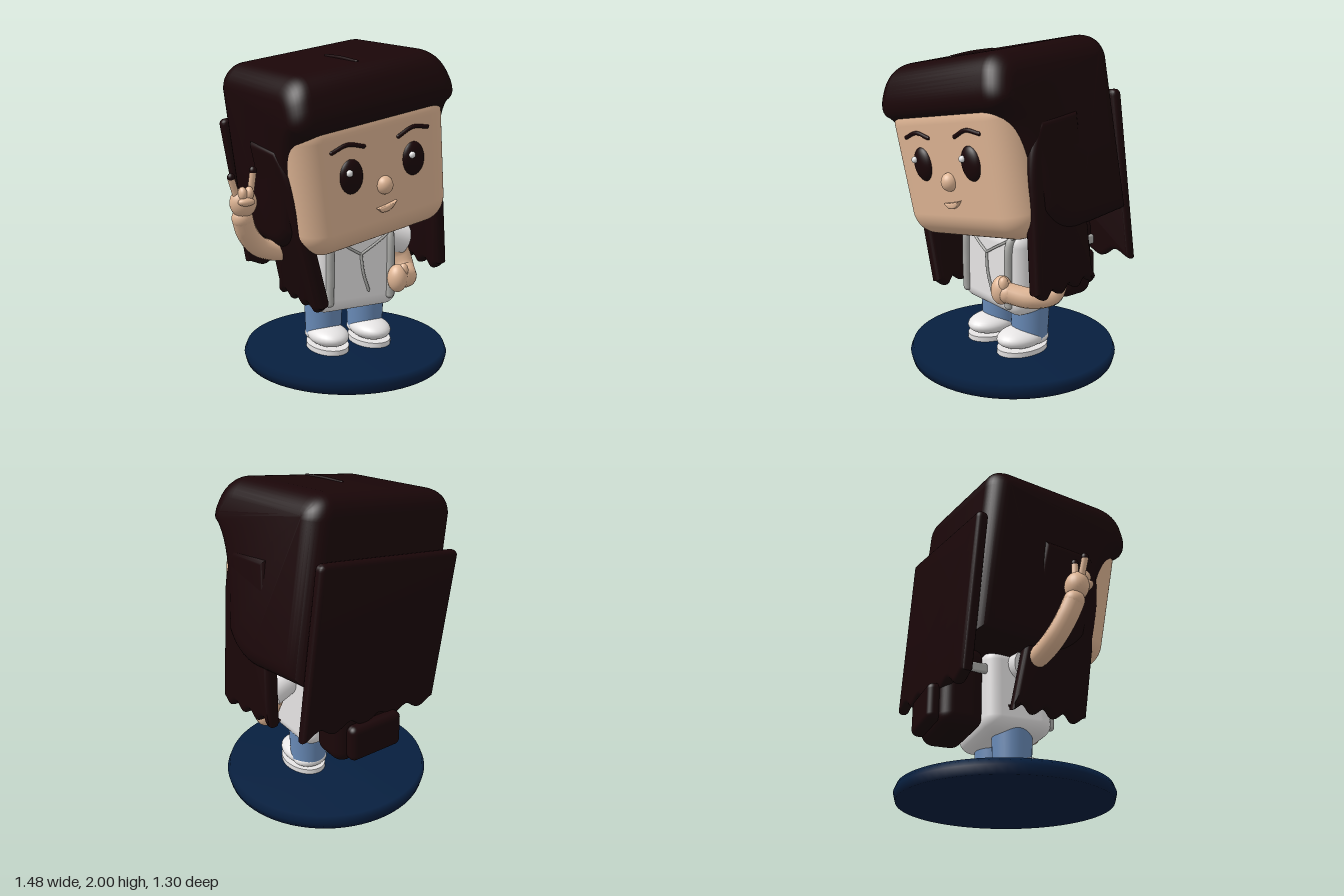
import * as THREE from 'three';
import { toCreasedNormals } from 'three/addons/utils/BufferGeometryUtils.js';
import { RoundedBoxGeometry } from 'three/addons/geometries/RoundedBoxGeometry.js';

const mat = (name, color) => {
  const m = new THREE.MeshStandardMaterial({ color });
  m.name = name;
  return m;
};
const V = (p) => new THREE.Vector3(...p);

export function createModel() {
  const root = new THREE.Group();
  const hair = mat('dark brown', 0x1a0608);
  const skin = mat('skin', 0xe0b695);
  const cloth = mat('off white', 0xe6e4e4);
  const grey = mat('strap grey', 0xa9a9a6);
  const denim = mat('denim blue', 0x698bb8);
  const navy = mat('navy', 0x071f3f);
  const white = mat('white', 0xf4f4f4);

  const add = (parent, name, geo, m, p = [0, 0, 0]) => {
    const mesh = new THREE.Mesh(geo, m);
    mesh.name = name;
    mesh.position.set(...p);
    parent.add(mesh);
    return mesh;
  };
  const ball = (parent, name, m, p, r) =>
    add(parent, name, new THREE.SphereGeometry(1, 28, 20).scale(...r), m, p);
  const box = (parent, name, m, p, s, r) =>
    add(parent, name, new RoundedBoxGeometry(...s, 5, r), m, p);
  const tube = (parent, name, m, pts, r) => {
    const curve = new THREE.CatmullRomCurve3(pts.map(V));
    add(parent, name, new THREE.TubeGeometry(curve, 24, r, 14), m);
    for (const p of [pts[0], pts[pts.length - 1]]) ball(parent, name + 'End', m, p, [r, r, r]);
  };
  // cone or cylinder between two points
  const rod = (parent, name, m, a, b, ra, rb) => {
    const d = V(b).sub(V(a));
    const mesh = add(parent, name, new THREE.CylinderGeometry(rb, ra, d.length(), 24), m);
    mesh.position.copy(V(a).add(V(b)).multiplyScalar(0.5));
    mesh.quaternion.setFromUnitVectors(new THREE.Vector3(0, 1, 0), d.normalize());
  };
  // scale x of every vertex by a rule of y
  const taper = (geo, rule) => {
    const p = geo.attributes.position;
    for (let i = 0; i < p.count; i++) p.setX(i, p.getX(i) * rule(p.getY(i)));
    return geo;
  };
  // flat shape with rounded rims, centred on its thickness
  const slab = (shape, thick, bevel, seg = 6) => {
    const g = new THREE.ExtrudeGeometry(shape, {
      depth: thick - 2 * bevel, bevelThickness: bevel, bevelSize: bevel,
      bevelOffset: -bevel, bevelSegments: seg, curveSegments: 10,
    });
    g.translate(0, 0, bevel - thick / 2);
    return toCreasedNormals(g, 0.7);
  };
  // wavy lower edge drawn from (x0,y0) to (x1,y1)
  const wave = (shape, x0, y0, x1, y1, n, amp) => {
    for (let i = 0; i <= 40; i++) {
      const t = i / 40;
      shape.lineTo(x0 + (x1 - x0) * t, y0 + (y1 - y0) * t + amp * Math.cos(t * n * Math.PI * 2));
    }
  };

  // Base disc with soft rim
  add(root, 'base', new THREE.LatheGeometry(
    [[0, 0], [0.635, 0], [0.648, 0.05], [0.632, 0.09], [0, 0.09]].map((p) => new THREE.Vector2(...p)), 72),
    navy, [0.09, 0, 0]);

  // Legs and shoes
  for (const x of [-0.06, 0.24]) {
    add(root, 'leg', new THREE.CylinderGeometry(0.122, 0.113, 0.22, 32), denim, [x, 0.28, -0.015]);
    add(root, 'sole', new THREE.CylinderGeometry(1, 1, 0.032, 36).scale(0.124, 1, 0.175), cloth, [x, 0.107, 0.045]);
    ball(root, 'shoe', cloth, [x, 0.178, 0.05], [0.123, 0.066, 0.172]);
    ball(root, 'shoeHeel', cloth, [x, 0.17, -0.03], [0.115, 0.055, 0.1]);
  }

  // Torso, collar and neck
  add(root, 'shirt', taper(new RoundedBoxGeometry(0.57, 0.53, 0.42, 6, 0.09), (y) => 1 - 0.12 * y), cloth, [0.09, 0.615, -0.01]);
  add(root, 'collar', new THREE.TorusGeometry(0.16, 0.05, 12, 36).rotateX(Math.PI / 2), cloth, [0.09, 0.86, -0.01]);
  add(root, 'neck', new THREE.CylinderGeometry(0.12, 0.13, 0.15, 28), skin, [0.09, 0.88, -0.01]);

  // Draw strings
  tube(root, 'drawString', grey, [[-0.09, 0.84, 0.2], [0.0, 0.77, 0.207], [0.09, 0.715, 0.207]], 0.008);
  tube(root, 'drawString', grey, [[0.09, 0.715, 0.207], [0.22, 0.79, 0.207], [0.34, 0.86, 0.18], [0.45, 0.92, 0.12]], 0.008);
  tube(root, 'drawString', grey, [[0.09, 0.715, 0.207], [0.105, 0.6, 0.21], [0.145, 0.48, 0.207]], 0.009);

  // Backpack with straps
  box(root, 'backpack', hair, [0.09, 0.62, -0.345], [0.48, 0.52, 0.26], 0.08);
  box(root, 'backpackPocket', hair, [0.09, 0.515, -0.495], [0.37, 0.23, 0.09], 0.04);
  for (const s of [-1, 1]) {
    const x = 0.09 + s * 0.21;
    tube(root, 'frontStrap', grey, [[x, 0.87, 0.08], [x, 0.83, 0.185], [x, 0.62, 0.205], [x, 0.43, 0.2]], 0.025);
    box(root, 'sideStrap', grey, [0.09 + s * 0.235, 0.73, -0.33], [0.03, 0.06, 0.25], 0.012);
  }

  // Left arm: bent across the front
  rod(root, 'leftSleeve', cloth, [0.29, 0.8, 0], [0.505, 0.72, 0.0], 0.09, 0.1);
  tube(root, 'leftArm', skin, [[0.44, 0.73, 0], [0.5, 0.62, 0.0], [0.51, 0.53, 0.04], [0.45, 0.515, 0.16], [0.35, 0.54, 0.25]], 0.062);
  ball(root, 'leftHand', skin, [0.315, 0.55, 0.265], [0.062, 0.088, 0.065]);
  ball(root, 'leftThumb', skin, [0.35, 0.6, 0.28], [0.03, 0.045, 0.03]);

  // Right arm: raised
  rod(root, 'rightSleeve', cloth, [-0.1, 0.79, 0], [-0.29, 0.74, 0.01], 0.09, 0.1);
  tube(root, 'rightArm', skin, [[-0.25, 0.75, 0.01], [-0.4, 0.755, 0.03], [-0.53, 0.81, 0.06], [-0.61, 0.91, 0.1], [-0.645, 1.0, 0.13]], 0.062);
  ball(root, 'rightHand', skin, [-0.645, 1.095, 0.15], [0.08, 0.085, 0.07]);
  for (const [a, b] of [[[-0.69, 1.14, 0.16], [-0.722, 1.24, 0.17]], [[-0.605, 1.14, 0.16], [-0.59, 1.27, 0.17]]]) {
    tube(root, 'raisedFinger', skin, [a, b], 0.02);
    ball(root, 'nail', hair, [b[0], b[1] + 0.008, b[2]], [0.022, 0.026, 0.022]);
  }
  for (const x of [-0.665, -0.625]) ball(root, 'foldedFinger', skin, [x, 1.155, 0.195], [0.025, 0.04, 0.035]);
  ball(root, 'rightThumb', skin, [-0.65, 1.11, 0.215], [0.05, 0.024, 0.03]);

  // Head, tilted as one group
  const head = new THREE.Group();
  head.name = 'head';
  head.position.set(0.02, 1.41, 0.05);
  head.rotation.set(0.087, 0.105, 0.156);
  root.add(head);

  add(head, 'face', taper(new RoundedBoxGeometry(1.05, 0.86, 0.7, 8, 0.16), (y) => 1 + 0.08 * Math.min(0, y)),
    skin, [-0.005, -0.12, 0.092]);

  // Hair cap: side profile (z, y) drawn across the head, open at the face
  const cap = new THREE.Shape();
  cap.moveTo(-0.44, -0.57);
  cap.lineTo(-0.49, 0.36);
  cap.quadraticCurveTo(-0.49, 0.5, -0.35, 0.5);
  cap.lineTo(0.26, 0.507);
  cap.quadraticCurveTo(0.4, 0.507, 0.45, 0.37);
  cap.quadraticCurveTo(0.495, 0.27, 0.46, 0.215);
  cap.quadraticCurveTo(0.33, 0.14, 0.3, -0.2);
  cap.lineTo(0.28, -0.4);
  cap.quadraticCurveTo(0.18, -0.56, 0, -0.57);
  const capGeo = taper(slab(cap, 1.12, 0.12, 8).rotateY(-Math.PI / 2), (y) => 1 - 1.3 * Math.max(0, y - 0.22) ** 2);
  add(head, 'hairCap', toCreasedNormals(capGeo, 0.7), hair, [0.008, 0, 0]);

  // Long side locks
  for (const s of [-1, 1]) {
    const lock = new THREE.Shape();
    lock.moveTo(-0.1, 0.1);
    lock.lineTo(0.2, 0.1);
    lock.quadraticCurveTo(0.31, 0.0, 0.32, -0.3);
    wave(lock, 0.37, -0.88, -0.1, -0.9, 3.5, 0.022);
    const m = add(head, 'sideLock', slab(lock, 0.09, 0.035, 4).rotateY(-Math.PI / 2), hair, [0.006 + s * 0.517, 0, 0]);
    m.rotation.z = -s * 0.09;
  }

  // Back hair sheet, hanging upright and slightly bowed
  const back = new THREE.Shape();
  back.moveTo(-0.51, 0.15);
  back.quadraticCurveTo(-0.545, 0.15, -0.545, 0.11);
  wave(back, -0.53, -0.82, 0.51, -0.86, 4.5, 0.025);
  back.lineTo(0.53, 0.11);
  back.quadraticCurveTo(0.53, 0.15, 0.49, 0.15);
  const sheet = add(head, 'backHair', slab(back, 0.07, 0.028, 4), hair, [0.005, 0, -0.497]);
  sheet.rotation.x = -0.08;
  tube(head, 'parting', hair, [[0, 0.5, -0.06], [0, 0.507, 0.1], [0, 0.503, 0.26]], 0.012);

  // Eyes, brows, nose and mouth
  for (const s of [-1, 1]) {
    ball(head, 'eye', hair, [s * 0.217, -0.08, 0.435], [0.078, 0.103, 0.042]);
    ball(head, 'eyeGlint', white, [s * 0.217 - 0.03, -0.045, 0.476], [0.02, 0.02, 0.017]);
    tube(head, 'brow', hair, [[s * 0.12, 0.075, 0.444], [s * 0.225, 0.108, 0.444], [s * 0.33, 0.085, 0.442]], 0.012);
  }
  ball(head, 'nose', skin, [0, -0.185, 0.445], [0.05, 0.055, 0.05]);
  const lips = new THREE.Shape();
  lips.moveTo(-0.07, 0.004);
  lips.quadraticCurveTo(0, 0.006, 0.07, 0.02);
  lips.quadraticCurveTo(0.03, -0.04, -0.04, -0.026);
  add(head, 'mouth', slab(lips, 0.05, 0.008, 3), skin, [0, -0.315, 0.44]);

  return root;
}
